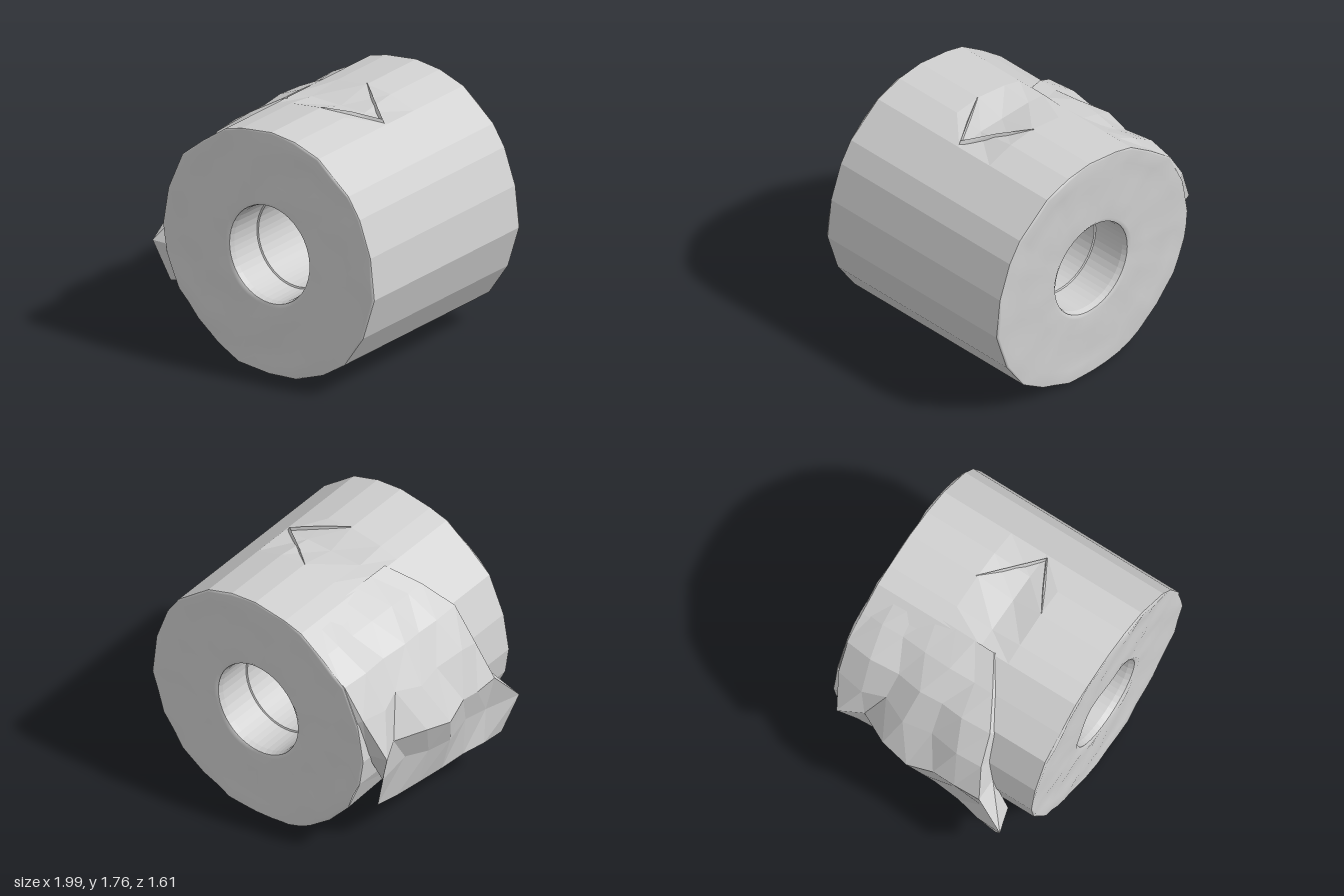
import * as THREE from 'three';

const CX = 0.1, CY = 0.86, HALF = 0.8;

// Slightly lumpy outline of the roll, counter-clockwise seen from the front
const OUTLINE = [
  [-0.16, 0.02], [0.1, 0.0], [0.33, 0.02], [0.56, 0.11], [0.74, 0.23], [0.9, 0.465],
  [0.995, 0.765], [0.962, 1.06], [0.87, 1.315], [0.775, 1.46], [0.52, 1.665], [0.32, 1.73],
  [0.12, 1.75], [-0.13, 1.715], [-0.27, 1.675], [-0.46, 1.54], [-0.635, 1.395], [-0.755, 1.12],
  [-0.8, 0.85], [-0.77, 0.65], [-0.66, 0.42], [-0.5, 0.24], [-0.33, 0.11],
];

// The roll leans a little towards -x at the back
const skew = (z) => 0.02 * (z / (2 * HALF) - 0.5);

// Skin a list of point rows; faces look along (next row) x (next point)
function skin(rows, closed, flat) {
  const n = rows[0].length, index = [];
  for (let i = 0; i < rows.length - 1; i++) {
    for (let j = 0; j < (closed ? n : n - 1); j++) {
      const k = (j + 1) % n;
      const a = i * n + j, b = i * n + k, c = (i + 1) * n + k, d = (i + 1) * n + j;
      index.push(a, d, b, b, d, c);
    }
  }
  let g = new THREE.BufferGeometry();
  g.setAttribute('position', new THREE.Float32BufferAttribute(rows.flat(2), 3));
  g.setIndex(index);
  if (flat) g = g.toNonIndexed();
  g.computeVertexNormals();
  return g;
}

export function createModel() {
  const group = new THREE.Group();
  const paper = new THREE.MeshStandardMaterial({ color: 0xd0d0d0, side: THREE.DoubleSide });
  paper.name = 'paper';
  const add = (name, geometry) => {
    const mesh = new THREE.Mesh(geometry, paper);
    mesh.name = name;
    group.add(mesh);
  };

  // Outer wrap: faceted, with a shallow V dent in the top layer
  const stations = [0.785, 0.25, 0.03, -0.25, -0.785];
  add('outerWrap', skin(stations.map((z, s) => OUTLINE.map(([x, y], j) => {
    const dent = s === 2 && j >= 11 && j <= 13;
    const swell = s === 4 && j >= 20 ? 0.012 : 0;
    return [x + skew(z) - swell, dent ? 1.69 : y - swell, z];
  })), true, true));

  // Edge points doubled so the ends and the hole look rounder
  const rim = OUTLINE.flatMap((p, j) => {
    const q = OUTLINE[(j + 1) % OUTLINE.length];
    return [p, [(p[0] + q[0]) / 2, (p[1] + q[1]) / 2]];
  });

  // Paper ends: gently rippled rings from the hole to the outer edge
  const endRow = (t, depth, side) => rim.map(([x, y], j) => {
    const a = Math.atan2(y - CY, x - CX);
    const hx = CX + 0.34 * Math.cos(a), hy = CY + 0.35 * Math.sin(a);
    const ripple = t > 0 && t < 1 ? 0.006 * Math.sin(a * 5 + t * 9) + 0.004 * Math.sin(j * 2.1) * t : 0;
    const swell = side < 0 && t === 1 && j >= 40 ? 0.012 : 0;
    const z = side * (HALF - depth + ripple);
    return [hx + (x - hx) * t + skew(z) - swell, hy + (y - hy) * t - swell, z];
  });
  const ends = [[0, 0.02], [0.05, 0.008], [0.3, 0.012], [0.6, 0.01], [0.8, 0.01], [0.98, 0.004], [1, 0.015]];
  add('frontEnd', skin(ends.map(([t, d]) => endRow(t, d, 1)), true));
  add('backEnd', skin(ends.map(([t, d]) => endRow(t, d, -1)).reverse(), true));

  // Core tube with a shallow step part way in
  const bore = [[-0.78, 0.345], [-0.74, 0.332], [-0.5, 0.328], [-0.495, 0.317], [0.495, 0.317], [0.5, 0.328], [0.74, 0.332], [0.78, 0.345]];
  add('coreTube', skin(bore.map(([z, r]) => rim.map(([x, y]) => {
    const a = Math.atan2(y - CY, x - CX);
    return [CX + r * Math.cos(a) + skew(z), CY + (r + 0.007) * Math.sin(a), z];
  })), true, true));

  // Crumpled loose sheet: each row is x, y, back z, front z, then outward offsets
  const sheet = [
    [-0.26, 1.67, -0.78, 0.13, 0.0, 0.01, 0.01, 0.01, 0.015, 0.02, 0.02],
    [-0.46, 1.54, -0.78, 0.26, 0.0, 0.03, 0.015, 0.04, 0.05, 0.03, 0.03],
    [-0.65, 1.39, -0.78, 0.37, 0.01, 0.04, 0.01, 0.05, 0.03, 0.05, 0.03],
    [-0.75, 1.15, -0.76, 0.40, 0.05, 0.08, 0.03, 0.11, 0.07, 0.11, 0.08],
    [-0.80, 0.88, -0.68, 0.46, 0.14, 0.06, 0.17, 0.20, 0.16, 0.15, 0.14],
    [-0.79, 0.62, -0.59, 0.66, 0.04, 0.04, 0.09, 0.13, 0.10, 0.09, 0.20],
    [-0.73, 0.29, -0.52, 0.57, 0.0, 0.04, 0.07, 0.10, 0.12, 0.16, 0.18],
  ];
  // where the front edge of each lower row folds back to
  const tuck = { 4: [-0.79, 0.93, 0.47], 5: [-0.8, 0.61, 0.6], 6: [-0.8, 0.35, 0.55] };
  const sheetRows = sheet.map(([x, y, z0, z1, ...off], i) => {
    const dx = x - CX, dy = Math.max(0, y - CY), len = Math.hypot(dx, dy);
    const row = off.map((o, j) => [
      x + dx / len * o,
      y + dy / len * o + (i === 6 ? j * 0.008 : i > 2 ? 0.03 * Math.sin(j * 2.4 + i) : 0),
      z0 + (z1 - z0) * j / 6 + (i > 0 && j % 6 ? 0.03 * Math.sin(i * 2.7 + j) : 0),
    ]);
    // the back edge meets the roll, except on the hanging end
    const back = i < 5 ? [x, y - 0.01, Math.max(z0 - 0.04, -0.785)] : [...row[0]];
    return [back, ...row, tuck[i] ?? [x + 0.01, y - 0.01, z1 + 0.02]];
  });
  add('looseSheet', skin(sheetRows, false, true));

  // Raised V-shaped fold on top
  for (const [x, z] of [[0.12, 0.25], [0.1, -0.26]]) {
    const mid = [(x + 0.47) / 2, 1.73, (z + 0.05) / 2];
    const tip = [0.48, 1.69, 0.05], end = [x, 1.75, z];
    const ridge = [tip, mid, end].map(([a, b, c], i) => [
      [a - 0.02, b - 0.03, c], [a, b + 0.006, c], [a + 0.02, b - 0.03, c + (i === 1 ? 0.01 : 0)],
    ]);
    add('topFold', skin(ridge, false, true));
  }
  return group;
}
